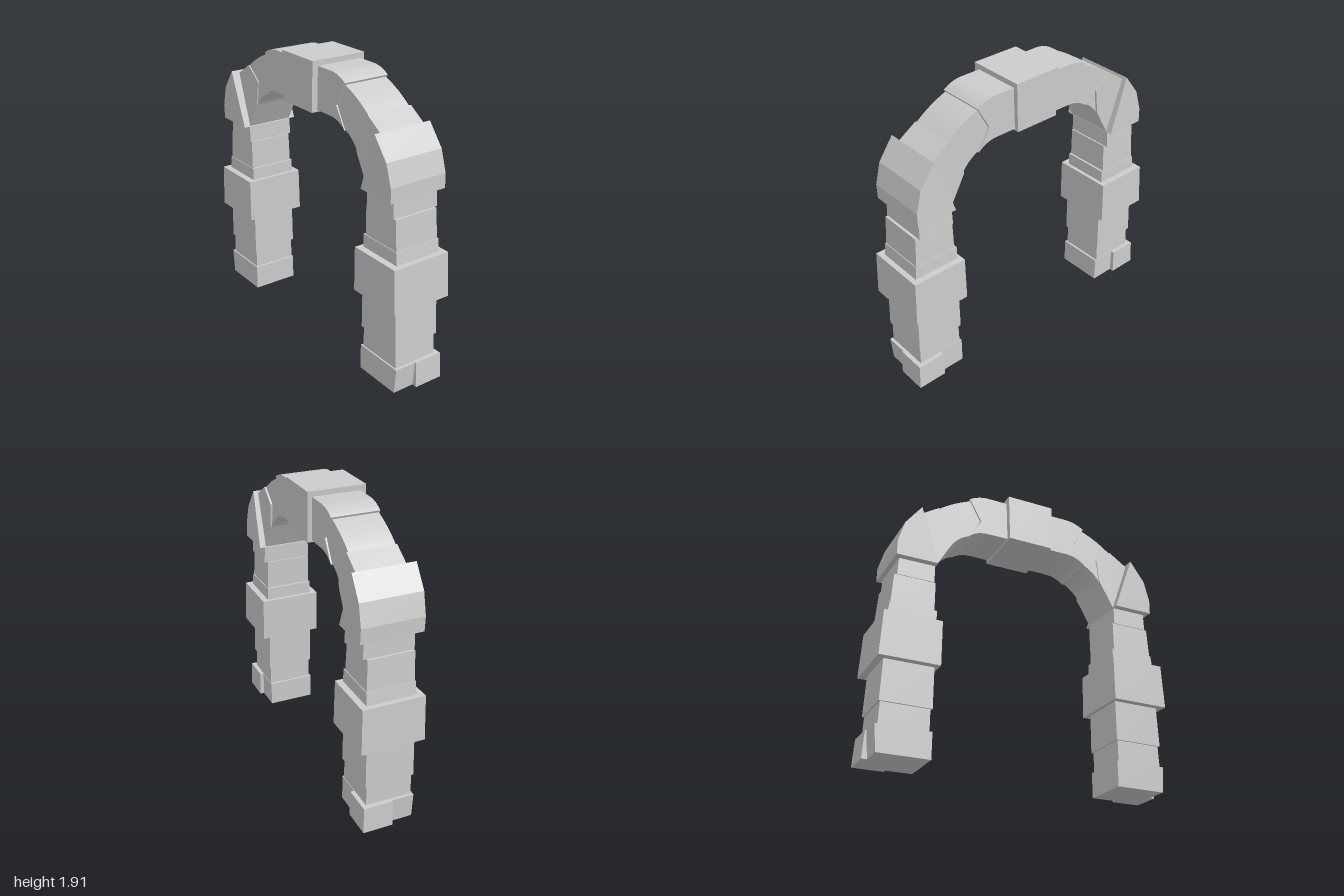
import * as THREE from 'three';

const stone = new THREE.MeshStandardMaterial({ color: 0xcccccc, flatShading: true });

function addMesh(parent, geometry, name) {
  const mesh = new THREE.Mesh(geometry, stone);
  mesh.name = name;
  parent.add(mesh);
}

// Box from y0 to y1; bottom and top are [xMin, xMax, zMin, zMax], so sides may taper
function taperedBlock(y0, y1, bottom, top = bottom, side = 1) {
  const g = new THREE.BoxGeometry(1, 1, 1);
  const p = g.attributes.position;
  for (let i = 0; i < p.count; i++) {
    const up = p.getY(i) > 0;
    let r = up ? top : bottom;
    if (side < 0) r = [-r[1], -r[0], r[2], r[3]];
    p.setXYZ(i, p.getX(i) < 0 ? r[0] : r[1], up ? y1 : y0, p.getZ(i) < 0 ? r[2] : r[3]);
  }
  g.computeVertexNormals();
  return g;
}

// Arch stone: points [x, y], or [cx, cy, x, y] for a curved edge, extruded along z
function archStone(points, z0, z1, side, lean = 0) {
  const shape = new THREE.Shape();
  points.forEach((q, i) => {
    if (i === 0) shape.moveTo(q[0] * side, q[1]);
    else if (q.length === 4) shape.quadraticCurveTo(q[0] * side, q[1], q[2] * side, q[3]);
    else shape.lineTo(q[0] * side, q[1]);
  });
  const g = new THREE.ExtrudeGeometry(shape, { depth: z1 - z0, bevelEnabled: false, curveSegments: 8 });
  g.translate(0, 0, z0);
  const p = g.attributes.position;
  for (let i = 0; i < p.count; i++) p.setZ(i, p.getZ(i) + lean * (p.getY(i) - 1.45));
  g.computeVertexNormals();
  return g;
}

// Pillar courses, bottom to top: name, y0, y1, bottom extents, top extents
const courses = [
  ['base', 0, 0.17, [0.63, 0.965, -0.16, 0.16], [0.63, 0.98, -0.16, 0.16]],
  ['baseCorner', 0, 0.172, [0.8, 1.0, -0.19, 0.01], [0.8, 0.99, -0.185, 0.01]],
  ['lowerCourse', 0.17, 0.31, [0.645, 0.96, -0.157, 0.15], [0.645, 0.955, -0.153, 0.15]],
  ['shaft', 0.31, 0.575, [0.635, 0.965, -0.165, 0.16], [0.635, 0.955, -0.16, 0.16]],
  ['bandBlock', 0.575, 0.87, [0.61, 1.0, -0.215, 0.205], [0.61, 0.985, -0.207, 0.205]],
  ['collar', 0.87, 0.955, [0.635, 0.95, -0.165, 0.16], [0.635, 0.94, -0.163, 0.16]],
  ['upperCourse', 0.955, 1.15, [0.65, 0.935, -0.158, 0.155], [0.65, 0.922, -0.15, 0.155]],
  ['neck', 1.15, 1.275, [0.66, 0.905, -0.172, 0.16], [0.66, 0.9, -0.165, 0.16]],
];

// Arch stones, shoulder to crown: name, outline, z range, lean
const stones = [
  ['shoulderStone', [[0.655, 1.265], [0.93, 1.265], [0.93, 1.36], [0.89, 1.5], [0.785, 1.64]],
    -0.198, 0.21, 0.03],
  ['haunchStone', [[0.655, 1.27], [0.78, 1.62], [0.65, 1.705], [0.535, 1.615], [0.555, 1.45]],
    -0.16, 0.16, 0],
  ['curvedStone', [[0.555, 1.45], [0.535, 1.615], [0.65, 1.7], [0.55, 1.78, 0.43, 1.825],
    [0.355, 1.685], [0.425, 1.555], [0.5, 1.53, 0.555, 1.45]], -0.147, 0.153, 0],
  ['crownStone', [[0.15, 1.88], [0.31, 1.88], [0.38, 1.875, 0.435, 1.837], [0.35, 1.685],
    [0.435, 1.548], [0.38, 1.602, 0.29, 1.602], [0.15, 1.602]], -0.157, 0.16, 0],
];

export function createModel() {
  const model = new THREE.Group();
  model.name = 'stoneArch';

  for (const side of [1, -1]) {
    const label = side > 0 ? 'left' : 'right';
    const pillar = new THREE.Group();
    pillar.name = label + 'Pillar';
    for (const [name, y0, y1, bottom, top] of courses) {
      addMesh(pillar, taperedBlock(y0, y1, bottom, top, side), name);
    }
    const halfArch = new THREE.Group();
    halfArch.name = label + 'HalfArch';
    for (const [name, outline, z0, z1, lean] of stones) {
      addMesh(halfArch, archStone(outline, z0, z1, side, lean), name);
    }
    model.add(pillar, halfArch);
  }

  // Keystone
  const keyBottom = [-0.155, 0.155, -0.185, 0.2];
  addMesh(model, taperedBlock(1.59, 1.915, keyBottom, [-0.165, 0.165, -0.188, 0.2]), 'keystone');
  return model;
}
